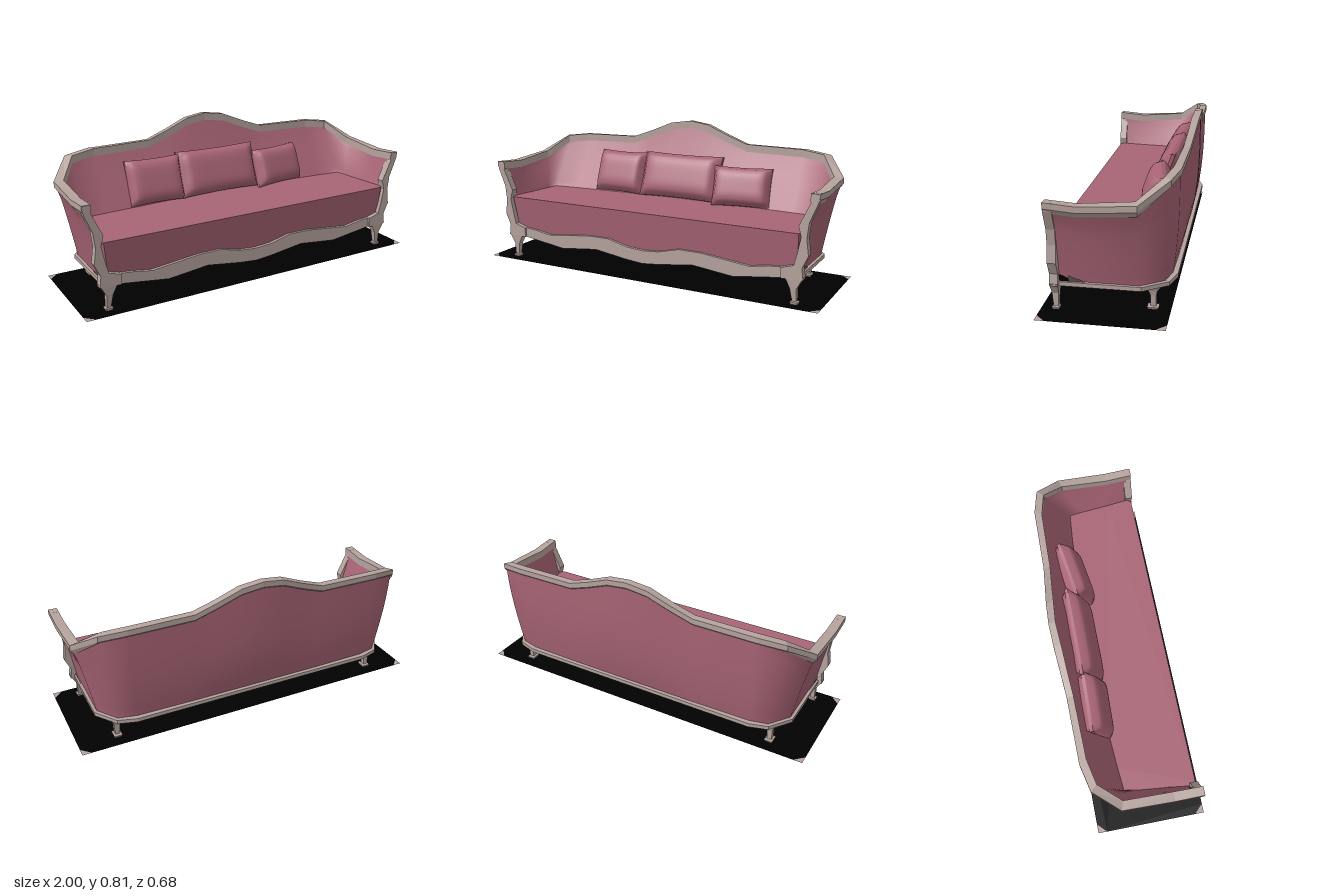
import * as THREE from 'three';

const fabric = new THREE.MeshStandardMaterial({ name: 'rose fabric', color: 0xa86475, side: THREE.DoubleSide });
const wood = new THREE.MeshStandardMaterial({ name: 'pale wood', color: 0xb5a39d, side: THREE.DoubleSide, flatShading: true });
const shade = new THREE.MeshStandardMaterial({ name: 'dark wood', color: 0x645854, side: THREE.DoubleSide });
const black = new THREE.MeshStandardMaterial({ name: 'black', color: 0x000000, side: THREE.DoubleSide });

// Surface through rows of points; ring joins each row's ends and caps the loft
function loft(rows, ring = false) {
  const n = rows[0].length, index = [];
  for (let i = 0; i < rows.length - 1; i++) {
    for (let j = 0; j < (ring ? n : n - 1); j++) {
      const a = i * n + j, b = i * n + (j + 1) % n;
      index.push(a, b, a + n, b, b + n, a + n);
    }
  }
  if (ring) {
    const e = (rows.length - 1) * n;
    for (let j = 1; j < n - 1; j++) index.push(0, j + 1, j, e, e + j, e + j + 1);
  }
  const g = new THREE.BufferGeometry();
  g.setAttribute('position', new THREE.Float32BufferAttribute(rows.flat(2), 3));
  g.setIndex(index);
  g.computeVertexNormals();
  return g;
}

// Shape from points, and a closed outline from its right half
const shapeOf = pts => new THREE.Shape(pts.map(p => new THREE.Vector2(...p)));
const mirrored = half => [...half, ...half.slice().reverse().filter(p => p[0] > 0).map(([x, y]) => [-x, y])];
const extrude = (pts, depth) => new THREE.ExtrudeGeometry(shapeOf(pts), { depth, bevelEnabled: false });

// Flat plan (x, z) given as a right half, extruded downwards from y
const slab = (half, y, height) => extrude(mirrored(half), height).rotateX(Math.PI / 2).translate(0, y, 0);

// Stations from the front of the left arm to the centre of the back
const outerTop = [[0.972, 0.575, 0.282], [0.972, 0.563, 0.13], [0.968, 0.58, -0.145], [0.86, 0.672, -0.28],
  [0.72, 0.688, -0.312], [0.37, 0.692, -0.316], [0.25, 0.735, -0.325], [0.12, 0.788, -0.335], [0, 0.805, -0.34]];
const innerTop = [[0.925, 0.575, 0.282], [0.922, 0.563, 0.13], [0.92, 0.585, -0.13], [0.83, 0.675, -0.245],
  [0.70, 0.69, -0.273], [0.37, 0.695, -0.28], [0.25, 0.737, -0.288], [0.12, 0.79, -0.295], [0, 0.807, -0.303]];
const outerFoot = [[0.868, 0.25], [0.868, 0.13], [0.868, -0.14], [0.79, -0.25],
  [0.69, -0.273], [0.37, -0.278], [0.25, -0.278], [0.12, -0.278], [0, -0.278]];
const innerFoot = [[0.885, 0.26], [0.868, 0.13], [0.852, -0.03], [0.842, -0.103],
  [0.7, -0.115], [0.37, -0.135], [0.25, -0.14], [0.12, -0.145], [0, -0.15]];
const bulge = [0.65, 0.7, 0.85, 1.6, 2.6, 3.2, 3.4, 3.4, 3.4];

// Lower lips of the rail, where the fabric begins
const outerLip = outerTop.map(([x, y, z], i) => [x + (innerTop[i][0] - x) * 0.38,
  y - (x > 0.9 ? 0.056 : 0.038), z + (innerTop[i][2] - z) * 0.2]);
const innerLip = innerTop.map(([x, y, z]) => [x, y - 0.042, z]);

const mirrorRows = rows => [...rows, ...rows.slice(0, -1).reverse().map(r => r.map(([x, y, z]) => [-x, y, z]))];

// One side of the upholstered wall, ending just behind the front posts
function wall(foot, lip, y0, bend) {
  const steps = 8;
  return loft(mirrorRows(lip.map(([x, y, z], i) => {
    const row = [], [fx, fz] = foot[i], zTop = Math.min(z, 0.255);
    for (let s = 0; s <= steps; s++) {
      const t = s / steps, f = 1 - Math.pow(1 - t, bend[i]);
      row.push([fx + (x - fx) * f, y0 + (y - y0) * t, fz + (zTop - fz) * f]);
    }
    return row;
  })));
}

// Soft square cushion: thin at the seams, with pointed corners
function pillow(w, h, d) {
  const g = new THREE.BoxGeometry(w, h, d, 16, 14, 2), p = g.attributes.position;
  for (let i = 0; i < p.count; i++) {
    const u = p.getX(i) / (w / 2), v = p.getY(i) / (h / 2);
    const puff = 0.15 + 0.85 * Math.pow(Math.max(0, (1 - u ** 8) * (1 - v ** 4)), 0.5);
    p.setXYZ(i, p.getX(i) * (1 - 0.03 * (1 - v * v)), p.getY(i) * (1 - 0.05 * (1 - u * u)), p.getZ(i) * puff);
  }
  g.computeVertexNormals();
  return g;
}

// Tapered leg from rows of [y, x0, x1, z0, z1]
const leg = (rows, side) => loft(rows.map(([y, x0, x1, z0, z1]) =>
  [[x0 * side, y, z0], [x1 * side, y, z0], [x1 * side, y, z1], [x0 * side, y, z1]]), true);

export function createModel() {
  const sofa = new THREE.Group();
  sofa.name = 'sofa';
  const add = (name, geometry, material) => {
    const m = new THREE.Mesh(geometry, material);
    m.name = name;
    sofa.add(m);
    return m;
  };

  // Back and arms
  add('outerUpholstery', wall(outerFoot, outerLip, 0.15, bulge), fabric);
  add('innerUpholstery', wall(innerFoot, innerLip, 0.365, bulge.map(() => 1.05)), fabric);

  // Carved rail along the top
  add('topRail', loft(mirrorRows(outerTop.map((o, i) =>
    [o, [o[0], o[1] - 0.03, o[2]], outerLip[i], innerLip[i], innerTop[i]])), true), wood);

  // Wavy apron, slimmer than the posts
  add('frontApron', extrude(mirrored([[0, 0.088], [0.1, 0.097], [0.3, 0.125], [0.42, 0.112], [0.53, 0.1],
    [0.64, 0.115], [0.79, 0.135], [0.85, 0.14], [0.86, 0.21], [0.79, 0.19], [0.73, 0.185], [0.62, 0.167],
    [0.5, 0.18], [0.35, 0.197], [0.22, 0.198], [0.1, 0.168], [0, 0.16]]), 0.024).translate(0, 0, 0.248), wood);

  // Curved arm posts
  const post = [[0.79, 0.135], [0.905, 0.14], [0.897, 0.2], [0.927, 0.265], [0.915, 0.35], [0.924, 0.43],
    [0.965, 0.53], [0.972, 0.572], [0.928, 0.572], [0.928, 0.53], [0.872, 0.41], [0.887, 0.355],
    [0.87, 0.27], [0.855, 0.21], [0.79, 0.19]];

  // Legs
  const front = [[0.15, 0.81, 0.905, 0.241, 0.283], [0.09, 0.838, 0.872, 0.248, 0.28], [0.024, 0.85, 0.872, 0.25, 0.274],
    [0.02, 0.84, 0.882, 0.244, 0.281], [0, 0.848, 0.874, 0.248, 0.276]];
  const back = [[0.14, 0.75, 0.825, -0.238, -0.16], [0.105, 0.768, 0.808, -0.215, -0.172], [0.08, 0.772, 0.802, -0.208, -0.18],
    [0.024, 0.775, 0.8, -0.208, -0.181], [0.02, 0.764, 0.81, -0.221, -0.165], [0, 0.772, 0.802, -0.212, -0.174]];

  for (const [side, word] of [[1, 'left'], [-1, 'right']]) {
    add(word + 'Post', extrude(post.map(([x, y]) => [x * side, y]), 0.042).translate(0, 0, 0.241), wood);
    add(word + 'FrontLeg', leg(front, side), wood);
    add(word + 'BackLeg', leg(back, side), wood);
    // Dark worn patches low on the arm, behind the post
    const patch = pts => loft(pts.map(([z, h]) => [[0.874 * side, 0.156, z], [(0.874 + h * 0.24) * side, 0.156 + h, z]]));
    add(word + 'BlackPatch', patch([[0.241, 0.038], [0.22, 0.032], [0.195, 0.018]]), black);
    add(word + 'DarkPatch', patch([[0.195, 0.036], [0.17, 0.022], [0.12, 0.008]]), shade);
  }

  // Base
  add('baseBand', slab([[0.885, 0.25], [0.885, -0.15], [0.80, -0.27], [0.70, -0.3]], 0.156, 0.021), wood);
  add('underside', slab([[0.875, 0.245], [0.875, -0.147], [0.795, -0.262], [0.695, -0.292]], 0.136, 0.003), shade);

  // Seat, its front sloping back behind the apron
  const seat = slab([[0.872, 0.277], [0.89, 0.245], [0.872, 0.13], [0.856, -0.1], [0.7, -0.16]], 0.37, 0.215);
  const sp = seat.attributes.position;
  for (let i = 0; i < sp.count; i++) {
    if (sp.getZ(i) > 0.26 && sp.getY(i) < 0.2) sp.setZ(i, 0.252);
    if (sp.getY(i) < 0.2) sp.setX(i, sp.getX(i) * 0.97);
  }
  seat.computeVertexNormals();
  add('seat', seat, fabric);

  // Loose pillows
  const pillows = [['leftPillow', 0.33, 0.225, 0.4, 0.474, -0.15, 0.15],
    ['middlePillow', 0.5, 0.265, 0.008, 0.496, -0.172, 0], ['rightPillow', 0.325, 0.255, -0.39, 0.49, -0.174, -0.03]];
  for (const [name, w, h, x, y, z, turn] of pillows) {
    const p = add(name, pillow(w, h, 0.122), fabric);
    p.position.set(x, y, z);
    p.rotation.set(-0.35, turn, 0, 'YXZ');
  }

  // Dark floor mat with pale corners
  const c = 0.05, z0 = -0.28, z1 = 0.335, y = 0.008;
  const mat = mirrored([[1 - c, z1], [1, z1 - c], [1, z0 + c], [1 - c, z0]]);
  add('floorMat', new THREE.ShapeGeometry(shapeOf(mat)).rotateX(Math.PI / 2).translate(0, y, 0), black);
  for (const s of [1, -1]) {
    for (const [z, d] of [[z0, c], [z1, -c]]) {
      const corner = shapeOf([[s, z], [s * (1 - c), z], [s, z + d]]);
      add('matCorner', new THREE.ShapeGeometry(corner).rotateX(Math.PI / 2).translate(0, y, 0), wood);
    }
  }
  return sofa;
}
